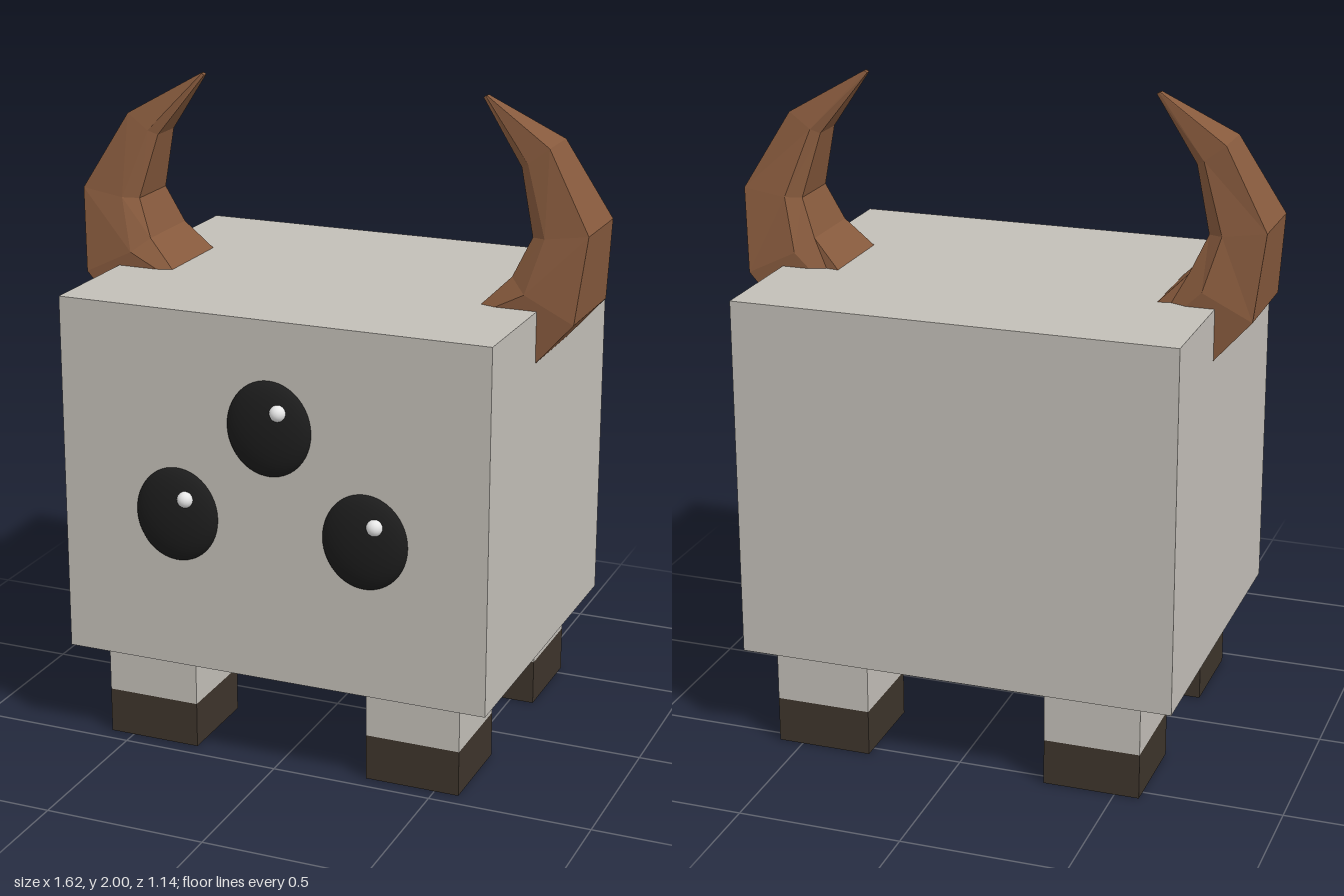
import * as THREE from 'three';

const material = (name, color, flat = false) => {
  const m = new THREE.MeshStandardMaterial({ color });
  m.name = name;
  m.flatShading = flat;
  return m;
};

// Horn sections from root to tip: outer edge, side ridge and inner edge, each [x, y, half width]
const HORN = [
  [[0.62, 1.197, 0.16], [0.49, 1.32, 0.16], [0.45, 1.365, 0.16]],
  [[0.787, 1.385, 0.16], [0.635, 1.46, 0.16], [0.585, 1.5, 0.12]],
  [[0.812, 1.64, 0.12], [0.68, 1.62, 0.12], [0.635, 1.615, 0.09]],
  [[0.675, 1.875, 0.077], [0.61, 1.825, 0.075], [0.585, 1.81, 0.055]],
  [[0.46, 2.0, 0.01], [0.455, 2.0, 0.01], [0.448, 1.995, 0.008]],
];
const HORN_Z = -0.03;

// Six-sided faceted horn; side is +1 or -1
function hornGeometry(side) {
  const positions = [];
  const index = [];
  const tri = (a, b, c) => index.push(...(side > 0 ? [a, b, c] : [a, c, b]));
  for (const [o, m, i] of HORN) {
    const ring = [[o, 1], [o, -1], [m, -1], [i, -1], [i, 1], [m, 1]];
    for (const [[x, y, w], s] of ring) positions.push(side * x, y, HORN_Z + s * w);
  }
  for (let r = 0; r < HORN.length - 1; r++) {
    for (let k = 0; k < 6; k++) {
      const a = r * 6 + k;
      const b = r * 6 + ((k + 1) % 6);
      tri(a, b, b + 6);
      tri(a, b + 6, a + 6);
    }
  }
  // End caps
  const top = (HORN.length - 1) * 6;
  for (let k = 1; k < 5; k++) {
    tri(top, top + k, top + k + 1);
    tri(0, k + 1, k);
  }
  const indexed = new THREE.BufferGeometry();
  indexed.setAttribute('position', new THREE.Float32BufferAttribute(positions, 3));
  indexed.setIndex(index);
  const geometry = indexed.toNonIndexed();
  geometry.computeVertexNormals();
  return geometry;
}

export function createModel() {
  const model = new THREE.Group();
  model.name = 'hornedCreature';

  const hide = material('hide grey', 0xc2beb7);
  const hoof = material('hoof brown', 0x3d342b);
  const horn = material('horn brown', 0x875a3d, true);
  const black = material('eye black', 0x1c1c1c);
  const white = material('glint white', 0xf4f4f4);

  const add = (parent, name, geometry, mat, x = 0, y = 0, z = 0) => {
    const mesh = new THREE.Mesh(geometry, mat);
    mesh.name = name;
    mesh.position.set(x, y, z);
    parent.add(mesh);
    return mesh;
  };

  // Block body
  add(model, 'body', new THREE.BoxGeometry(1.35, 1.115, 1.08), hide, 0, 0.8575, -0.027);

  // Legs with dark hooves
  const legGeometry = new THREE.BoxGeometry(0.295, 0.2, 0.295);
  const hoofGeometry = new THREE.BoxGeometry(0.295, 0.142, 0.295);
  for (const [row, z] of [['front', 0.303], ['back', -0.393]]) {
    for (const [label, side] of [['Left', 1], ['Right', -1]]) {
      const leg = new THREE.Group();
      leg.name = `${row}${label}Leg`;
      leg.position.set(side * 0.428, 0, z);
      add(leg, 'shin', legGeometry, hide, 0, 0.242, 0);
      add(leg, 'hoof', hoofGeometry, hoof, 0, 0.071, 0);
      model.add(leg);
    }
  }

  // Three bulging eyes, each with a small glint
  const eyeGeometry = new THREE.SphereGeometry(1, 32, 24);
  const glintGeometry = new THREE.SphereGeometry(0.025, 16, 12);
  for (const [name, x, y] of [['topEye', 0, 1.09], ['leftEye', 0.3, 0.785], ['rightEye', -0.3, 0.785]]) {
    const eye = new THREE.Group();
    eye.name = name;
    eye.position.set(x, y, 0.51);
    add(eye, 'eyeball', eyeGeometry, black).scale.set(0.133, 0.146, 0.05);
    add(eye, 'glint', glintGeometry, white, 0.043, 0.063, 0.037);
    model.add(eye);
  }

  // Curved horns
  add(model, 'leftHorn', hornGeometry(1), horn);
  add(model, 'rightHorn', hornGeometry(-1), horn);

  return model;
}
